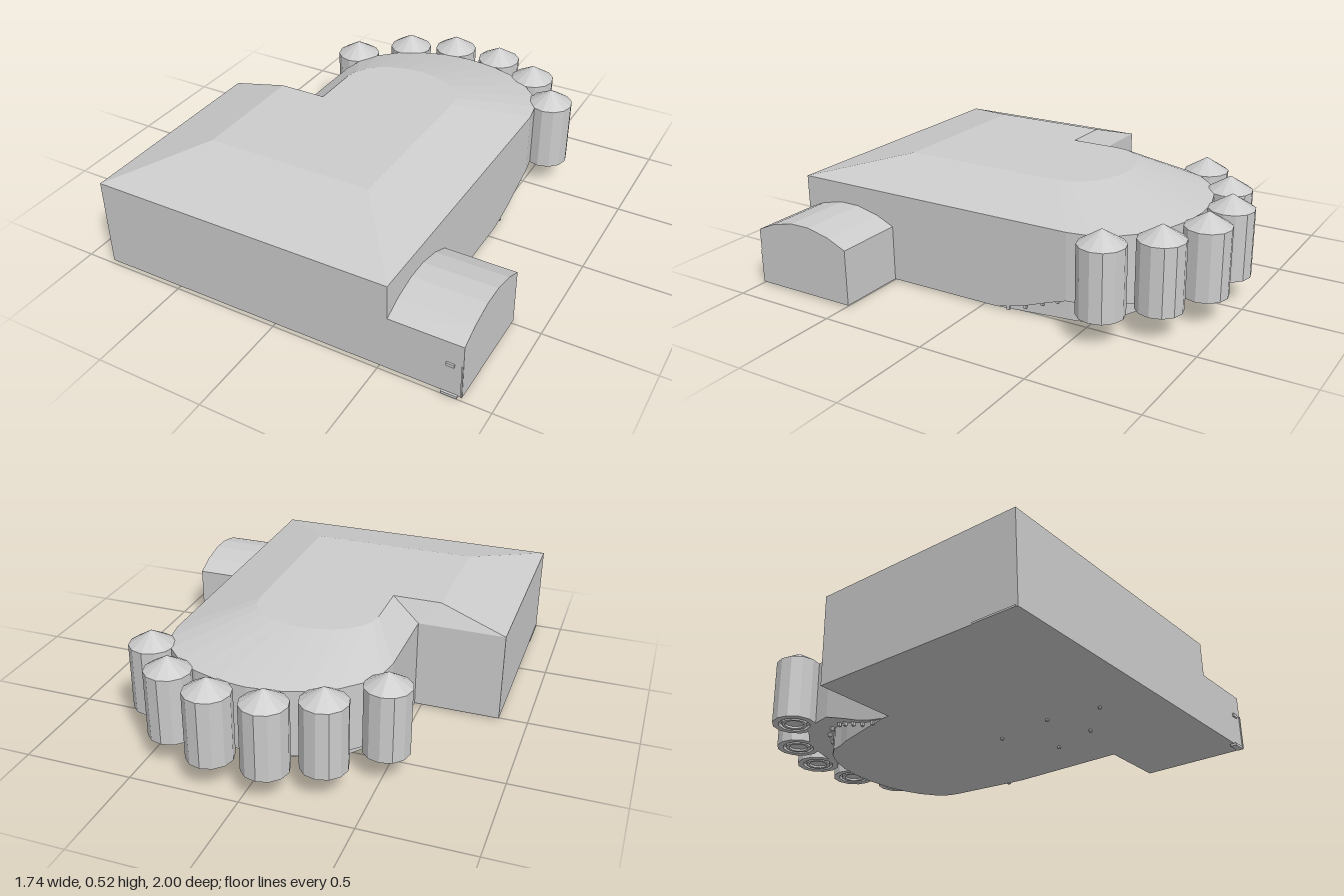
import * as THREE from 'three';

const material = new THREE.MeshStandardMaterial({ color: 0xcccccc, flatShading: true });
const add = (group, name, geometry, x = 0, y = 0, z = 0) => {
  const mesh = new THREE.Mesh(geometry, material);
  mesh.name = name;
  mesh.position.set(x, y, z);
  group.add(mesh);
  return mesh;
};

// Matched rings, counter-clockwise from above: floor, underside, wall foot, eave, roof edge
function bodyRings() {
  const rings = [[], [], [], [], []];
  const put = (outer, roof, floor = outer, h = 0.01) => {
    rings[0].push([floor[0], 0.01, floor[1]]);
    rings[1].push([floor[0], h, floor[1]]);
    rings[2].push([outer[0], h, outer[1]]);
    rings[3].push([outer[0], 0.43, outer[1]]);
    rings[4].push([roof[0], 0.525, roof[1]]);
  };
  // Rising edge of the overhang along the neck: z, height, inset fraction
  const rise = [[-0.05, 0.01, 0], [-0.13, 0.024, 0.2], [-0.21, 0.045, 0.42],
    [-0.29, 0.075, 0.65], [-0.36, 0.1, 0.85]];
  const neck = (x, inset, roofX, z0, [z, h, t]) => {
    const roofZ = THREE.MathUtils.mapLinear(z, z0, -0.42, z0 + 0.05, -0.2);
    put([x, z], [roofX, Math.max(-0.2, x > 0 ? z : roofZ)], [x + inset * t, z], h);
  };
  put([-0.87, 0.99], [-0.56, 0.59]);
  put([0.54, 0.99], [0.23, 0.59]);
  rise.forEach((r) => neck(0.54, -0.05, 0.23, -0.02, r));
  // Rounded end
  const n = 12;
  for (let i = 0; i <= n; i++) {
    const c = Math.cos((i / n) * Math.PI), s = Math.sin((i / n) * Math.PI);
    put([0.035 + 0.505 * c, -0.42 - 0.39 * s], [-0.0525 + 0.2825 * c, -0.2 - 0.21 * s],
      [0.06 + 0.43 * c, -0.42 - 0.23 * s], 0.12);
  }
  [...rise].reverse().forEach((r) => neck(-0.47, 0.09, -0.335, -0.02, r));
  put([-0.47, -0.02], [-0.335, 0.03]);
  put([-0.87, -0.02], [-0.56, 0.03]);
  return rings;
}

function bodyGeometry(rings) {
  const pos = [];
  const tri = (...points) => points.forEach((p) => pos.push(...p));
  const count = rings[0].length;
  for (let k = 0; k < rings.length - 1; k++) {
    for (let i = 0; i < count; i++) {
      const j = (i + 1) % count;
      const a = rings[k][i], b = rings[k][j], A = rings[k + 1][i], B = rings[k + 1][j];
      tri(a, b, B);
      tri(a, B, A);
    }
  }
  // Flat floor and roof top
  const cap = (ring, up) => {
    const flat = ring.map((p) => new THREE.Vector2(p[0], -p[2]));
    for (const [a, b, c] of THREE.ShapeUtils.triangulateShape(flat, [])) {
      const ccw = (flat[b].x - flat[a].x) * (flat[c].y - flat[a].y)
        - (flat[b].y - flat[a].y) * (flat[c].x - flat[a].x) > 0;
      if (ccw === up) tri(ring[a], ring[b], ring[c]);
      else tri(ring[a], ring[c], ring[b]);
    }
  };
  cap(rings[0], false);
  cap(rings[4], true);
  const geometry = new THREE.BufferGeometry();
  geometry.setAttribute('position', new THREE.Float32BufferAttribute(pos, 3));
  geometry.computeVertexNormals();
  return geometry;
}

export function createModel() {
  const model = new THREE.Group();
  model.name = 'building';

  const rings = bodyRings();
  add(model, 'mainHall', bodyGeometry(rings));

  // Small beads hung beneath the overhang
  const beads = new THREE.Group();
  beads.name = 'overhangBeads';
  model.add(beads);
  rings[1].forEach((p, i) => {
    if (p[1] < 0.02) return;
    const o = rings[2][i];
    add(beads, 'bead', new THREE.BoxGeometry(0.014, 0.02, 0.014),
      p[0] + (o[0] - p[0]) * 0.15, p[1] - 0.008, p[2] + (o[2] - p[2]) * 0.15);
  });

  // Tanks with conical caps and recessed bottoms around the rounded end
  const profile = [[0, 0.13], [0.045, 0.13], [0.045, 0.12], [0.06, 0.12], [0.06, 0.135],
    [0.075, 0.135], [0.075, 0.12], [0.105, 0.12], [0.105, 0.43], [0, 0.495]]
    .map(([x, y]) => new THREE.Vector2(x, y));
  const tank = new THREE.LatheGeometry(profile, 12);
  [[-0.505, -0.6], [-0.3, -0.8], [-0.08, -0.895], [0.17, -0.89], [0.4, -0.785], [0.57, -0.6]]
    .forEach(([x, z]) => add(model, 'tank', tank, x, 0, z));

  // Side annex with a vaulted roof
  const arch = new THREE.Shape([[-0.99, 0.01], [-0.49, 0.01], [-0.49, 0.27], [-0.58, 0.31],
    [-0.69, 0.335], [-0.79, 0.335], [-0.9, 0.31], [-0.99, 0.27]]
    .map(([x, y]) => new THREE.Vector2(x, y)));
  const annex = new THREE.ExtrudeGeometry(arch, { depth: 0.335, bevelEnabled: false });
  annex.rotateY(Math.PI / 2);
  add(model, 'annex', annex, 0.535);

  // Entrance fittings and a low strip on the far wall
  add(model, 'doorStep', new THREE.BoxGeometry(0.07, 0.012, 0.03), 0.815, 0.006, 0.985);
  add(model, 'wallBox', new THREE.BoxGeometry(0.035, 0.015, 0.012), 0.815, 0.16, 0.992);
  add(model, 'cornerPipe', new THREE.BoxGeometry(0.006, 0.16, 0.006), 0.866, 0.09, 0.992);
  add(model, 'sideStrip', new THREE.BoxGeometry(0.006, 0.008, 0.2), -0.87, 0.014, 0.88);

  // Pegs under the floor
  const peg = new THREE.CylinderGeometry(0.008, 0.008, 0.012, 8);
  [[0.29, 0.35], [0.22, 0.57], [0.035, 0.74], [0, 0.49], [0.04, 0.21]]
    .forEach(([x, z]) => add(model, 'floorPeg', peg, x, 0.006, z));

  return model;
}
